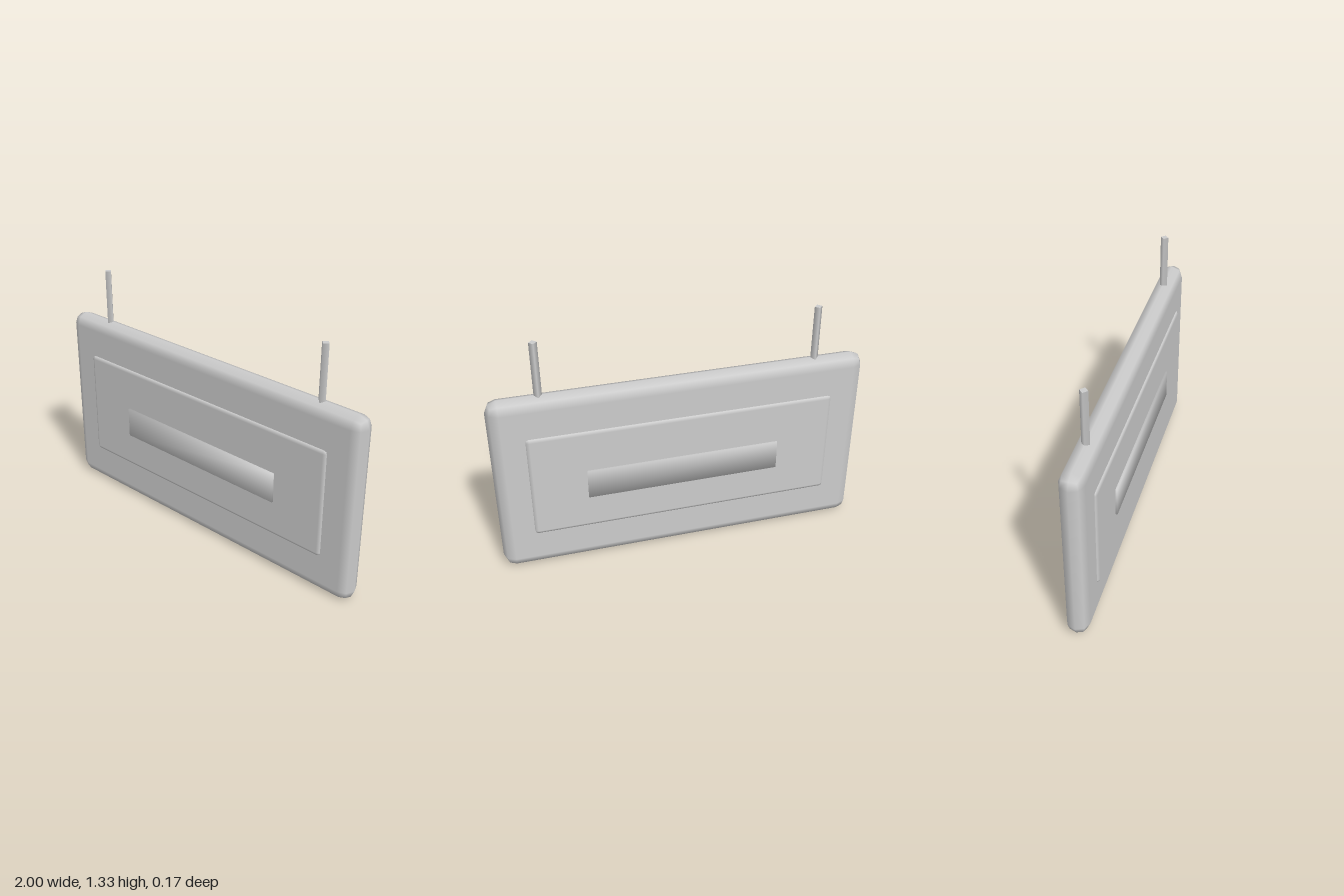
import * as THREE from 'three';
import { RoundedBoxGeometry } from 'three/addons/geometries/RoundedBoxGeometry.js';

const grey = new THREE.MeshStandardMaterial({ color: 0xcccccc });
grey.name = 'plainGrey';

function add(group, name, geometry, x, y) {
  const mesh = new THREE.Mesh(geometry, grey);
  mesh.name = name;
  mesh.position.set(x, y, 0);
  group.add(mesh);
  return mesh;
}

// Box whose normals are shared at the corners, for soft shading
function softBox(w, h, d) {
  const geometry = new THREE.BoxGeometry(w, h, d);
  const p = geometry.attributes.position;
  const n = new THREE.Vector3();
  for (let i = 0; i < p.count; i++) {
    n.set(Math.sign(p.getX(i)), Math.sign(p.getY(i)), Math.sign(p.getZ(i))).normalize();
    geometry.attributes.normal.setXYZ(i, n.x, n.y, n.z);
  }
  return geometry;
}

export function createModel() {
  const sign = new THREE.Group();
  sign.name = 'hangingSign';

  // Thick board with rounded edges
  add(sign, 'board', new RoundedBoxGeometry(2, 1.04, 0.125, 1, 0.0625), 0, 0.522);

  // Raised panel and central bar, showing on both faces
  add(sign, 'panel', new RoundedBoxGeometry(1.65, 0.61, 0.148, 1, 0.022), 0, 0.525);
  add(sign, 'bar', softBox(1.044, 0.168, 0.167), 0, 0.505);

  // Four-sided hanging rods
  for (const [name, side] of [['leftRod', 1], ['rightRod', -1]]) {
    add(sign, name, new THREE.CylinderGeometry(0.021, 0.021, 0.3, 4), side * 0.73, 1.185);
  }
  return sign;
}
